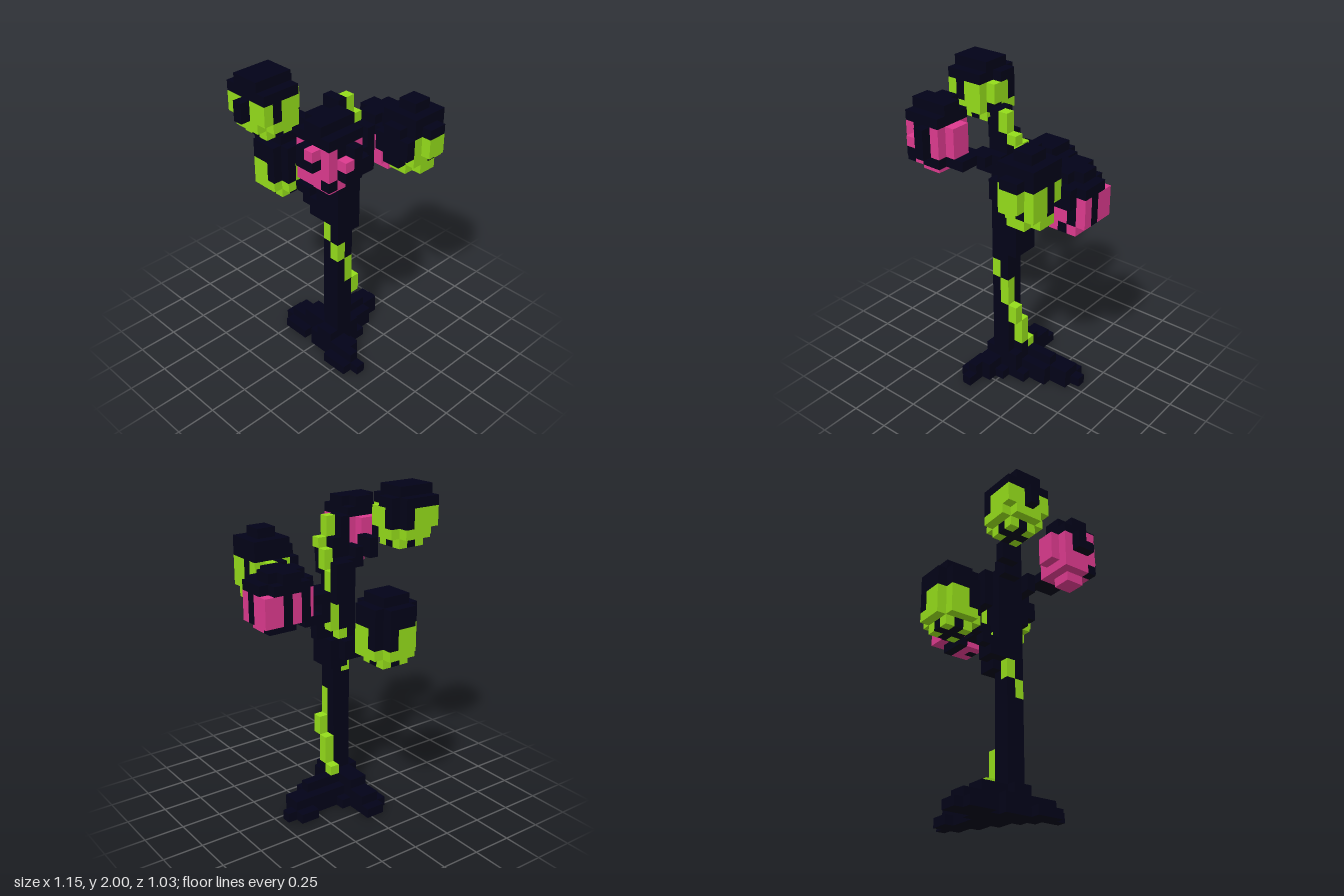
import * as THREE from 'three';

const S = 2 / 33; // edge of one block
const DARK = 'darkBark', GREEN = 'limeGreen', PINK = 'magentaPink';

export function createModel() {
  const materials = {};
  for (const [name, hex] of [[DARK, 0x020218], [GREEN, 0x94dc1a], [PINK, 0xdc3a8e]]) {
    materials[name] = new THREE.MeshStandardMaterial({ color: hex });
    materials[name].name = name;
  }

  // Block grid: later fills replace earlier ones, a null colour clears
  const cells = new Map();
  const key = (p) => p.join();
  const put = (part, color, x, y, z) => {
    if (color) cells.set(key([x, y, z]), { part, color, p: [x, y, z] });
    else cells.delete(key([x, y, z]));
  };
  const fill = (part, color, [x0, x1], [y0, y1], [z0, z1]) => {
    for (let x = x0; x <= x1; x++)
      for (let y = y0; y <= y1; y++)
        for (let z = z0; z <= z1; z++) put(part, color, x, y, z);
  };

  // Roots: three stepped lobes
  const root = (...b) => fill('roots', DARK, ...b);
  root([-2, 2], [0, 0], [0, 2]);
  root([-1, 4], [0, 0], [-1, 1]);
  root([5, 6], [0, 0], [-2, 0]);
  root([7, 7], [0, 0], [-1, -1]);
  root([-3, 0], [0, 0], [3, 3]);
  root([-3, -1], [0, 0], [4, 4]);
  root([-3, -2], [0, 0], [5, 5]);
  root([-2, -2], [0, 0], [6, 6]);
  root([-1, 1], [0, 0], [-2, -2]);
  root([-2, 0], [0, 0], [-4, -2]);
  root([-1, 0], [0, 0], [-5, -5]);
  root([-2, 1], [1, 1], [0, 2]);
  root([-1, 4], [1, 1], [-1, 1]);
  root([5, 6], [1, 1], [-1, 0]);
  root([-2, -1], [1, 1], [3, 4]);
  root([-2, -2], [1, 1], [5, 5]);
  root([-1, 0], [1, 1], [-4, -2]);
  root([-2, 1], [2, 2], [1, 2]);
  root([-1, 2], [2, 2], [0, 0]);
  root([3, 4], [2, 2], [0, 0]);
  root([-1, 0], [2, 2], [-2, -1]);

  // Trunk
  fill('trunk', DARK, [-1, 0], [2, 27], [1, 2]);
  fill('trunk', DARK, [-1, -1], [28, 29], [1, 2]);
  fill('trunk', DARK, [1, 1], [3, 3], [1, 1]);
  fill('trunk', DARK, [-1, 1], [15, 22], [1, 2]);
  fill('trunk', DARK, [-1, 0], [16, 25], [0, 0]);
  fill('trunk', DARK, [0, 1], [15, 17], [0, 0]);
  fill('trunk', DARK, [0, 1], [22, 25], [-1, -1]);

  // Branches out to the blossoms
  const branch = (...b) => fill('branch', DARK, ...b);
  branch([-1, 0], [16, 17], [-1, -1]);
  branch([-1, -1], [17, 18], [-2, -2]);
  branch([-1, -1], [18, 18], [-3, -3]);
  branch([2, 2], [18, 19], [1, 1]);
  branch([2, 4], [20, 20], [0, 1]);
  branch([2, 2], [21, 22], [0, 2]);
  branch([3, 4], [22, 22], [0, 1]);
  branch([-2, 0], [24, 25], [3, 3]);
  branch([-3, -1], [25, 25], [4, 4]);
  branch([-3, -2], [25, 25], [5, 6]);
  branch([-2, -2], [25, 26], [0, 1]);
  branch([-3, -3], [26, 27], [-1, 0]);

  // Blossom: stacked round layers, lower part painted as petals.
  // gaps lists the [dx, dz] columns left dark down to gapEnd.
  const blossom = (name, cx, cz, top, radii, petal, petalTop, gapEnd, gaps) => {
    const m = Number.isInteger(cx) ? 2 : 2.5;
    radii.forEach((r2, i) => {
      const y = top - i;
      for (let dx = -m; dx <= m; dx++)
        for (let dz = -m; dz <= m; dz++) {
          const d = dx * dx + dz * dz;
          if (d > r2) continue;
          const gap = y >= gapEnd && gaps.some(([a, b]) => a === dx && b === dz);
          const painted = y <= petalTop && !gap && (d > 1.9 || r2 < 1);
          put(name, painted ? petal : DARK, cx + dx, y, cz + dz);
        }
    });
  };

  blossom('backBlossom', -1, -6, 23, [3, 7, 7, 7, 7, 7, 3], GREEN, 20, 19,
    [[2, -1], [1, -2], [-2, 1], [-1, 2]]);

  const topB = (...b) => fill('topBlossom', ...b);
  blossom('topBlossom', -6, -2, 32, [3, 7, 7, 7, 7, 3], GREEN, 30, 29,
    [[-1, 2], [2, -1], [1, -2]]);
  topB(DARK, [-8, -8], [32, 32], [-3, -1]);
  topB(DARK, [-9, -9], [29, 30], [-2, -2]);
  topB(DARK, [-8, -8], [31, 31], [-4, -4]);
  topB(GREEN, [-8, -8], [29, 30], [-4, -4]);
  topB(DARK, [-8, -8], [31, 31], [0, 0]);
  topB(GREEN, [-8, -8], [29, 30], [0, 0]);
  topB(null, [-4, -4], [31, 31], [-1, -1]);
  topB(DARK, [-4, -4], [28, 28], [-1, -1]);

  const frontR = (...b) => fill('frontRightBlossom', ...b);
  blossom('frontRightBlossom', -5.5, 5.5, 30, [3, 4.6, 6.6, 6.6, 6.6, 4.6, 0.6], PINK, 28, 26,
    [[-2.5, -0.5], [0.5, 2.5]]);
  frontR(null, [-7, -4], [30, 30], [7, 7]);
  frontR(null, [-8, -8], [26, 26], [5, 6]);
  frontR(DARK, [-8, -8], [27, 27], [6, 6]);
  frontR(null, [-6, -6], [28, 28], [8, 8]);
  frontR(DARK, [-6, -6], [28, 28], [7, 7]);
  frontR(DARK, [-6, -6], [26, 26], [8, 8]);
  frontR(DARK, [-7, -7], [25, 25], [7, 7]);
  frontR(DARK, [-5, -4], [25, 25], [7, 7]);

  const frontL = (...b) => fill('frontLeftBlossom', ...b);
  blossom('frontLeftBlossom', 5.5, 5.5, 28, [0.6, 4.6, 4.6, 6.6, 6.6, 6.6, 3], GREEN, 25, 23,
    [[1.5, -0.5], [-0.5, -2.5]]);
  frontL(null, [8, 8], [23, 25], [5, 6]);
  frontL(null, [5, 6], [23, 23], [8, 8]);
  frontL(null, [5, 6], [23, 23], [3, 3]);
  frontL(null, [4, 7], [22, 23], [4, 4]);
  frontL(DARK, [6, 6], [23, 23], [7, 7]);
  frontL(DARK, [5, 6], [26, 26], [8, 8]);
  frontL(DARK, [3, 3], [24, 25], [4, 7]);
  frontL(DARK, [3, 3], [23, 26], [5, 6]);

  const left = (...b) => fill('leftBlossom', ...b);
  blossom('leftBlossom', 6.5, 0.5, 25, [3, 6.6, 6.6, 6.6, 6.6], PINK, 23, 21,
    [[2.5, 0.5], [1.5, 1.5], [0.5, -1.5], [-1.5, -1.5], [-2.5, 0.5]]);
  left(null, [6, 7], [21, 24], [-2, -2]);
  left(null, [6, 7], [21, 22], [3, 3]);
  left(DARK, [7, 8], [23, 24], [3, 3]);
  left(DARK, [9, 9], [24, 24], [0, 2]);
  left(PINK, [9, 9], [21, 23], [-1, -1]);
  left(PINK, [9, 9], [21, 23], [2, 2]);
  left(DARK, [6, 8], [20, 20], [0, 0]);
  left(PINK, [6, 8], [20, 20], [1, 2]);
  left(DARK, [7, 7], [20, 20], [2, 2]);

  // Vine winding up the trunk
  const vine = (x, y0, y1, z) => fill('vine', GREEN, [x, x], [y0, y1], [z, z]);
  vine(1, 3, 3, 0);
  vine(1, 4, 6, 1);
  vine(1, 7, 8, 2);
  vine(0, 9, 11, 2);
  vine(-1, 12, 13, 2);
  vine(-1, 14, 15, 1);
  vine(0, 16, 18, 0);
  vine(1, 19, 24, 0);
  vine(1, 25, 26, 1);
  vine(1, 27, 27, 2);
  vine(0, 28, 29, 2);

  // Collect the exposed block faces by part and colour
  const faces = {};
  for (const { part, color, p } of cells.values()) {
    const out = ((faces[part] ??= {})[color] ??= { pos: [], nor: [] });
    for (let a = 0; a < 3; a++)
      for (const s of [-1, 1]) {
        const next = [...p];
        next[a] += s;
        if (cells.has(key(next))) continue;
        const quad = [[-1, -1], [1, -1], [1, 1], [-1, 1]].map(([u, v]) => {
          const c = [p[0], p[1] + 0.5, p[2]];
          c[a] += s / 2;
          c[(a + 1) % 3] += u / 2;
          c[(a + 2) % 3] += v / 2;
          return c.map((n) => n * S);
        });
        if (s < 0) quad.reverse();
        for (const i of [0, 1, 2, 0, 2, 3]) {
          out.pos.push(...quad[i]);
          out.nor.push(...[0, 1, 2].map((n) => (n === a ? s : 0)));
        }
      }
  }

  const model = new THREE.Group();
  model.name = 'blossomTree';
  for (const part in faces) {
    const group = new THREE.Group();
    group.name = part;
    for (const color in faces[part]) {
      const { pos, nor } = faces[part][color];
      const geo = new THREE.BufferGeometry();
      geo.setAttribute('position', new THREE.Float32BufferAttribute(pos, 3));
      geo.setAttribute('normal', new THREE.Float32BufferAttribute(nor, 3));
      const mesh = new THREE.Mesh(geo, materials[color]);
      mesh.name = `${part} ${color}`;
      group.add(mesh);
    }
    model.add(group);
  }
  return model;
}
